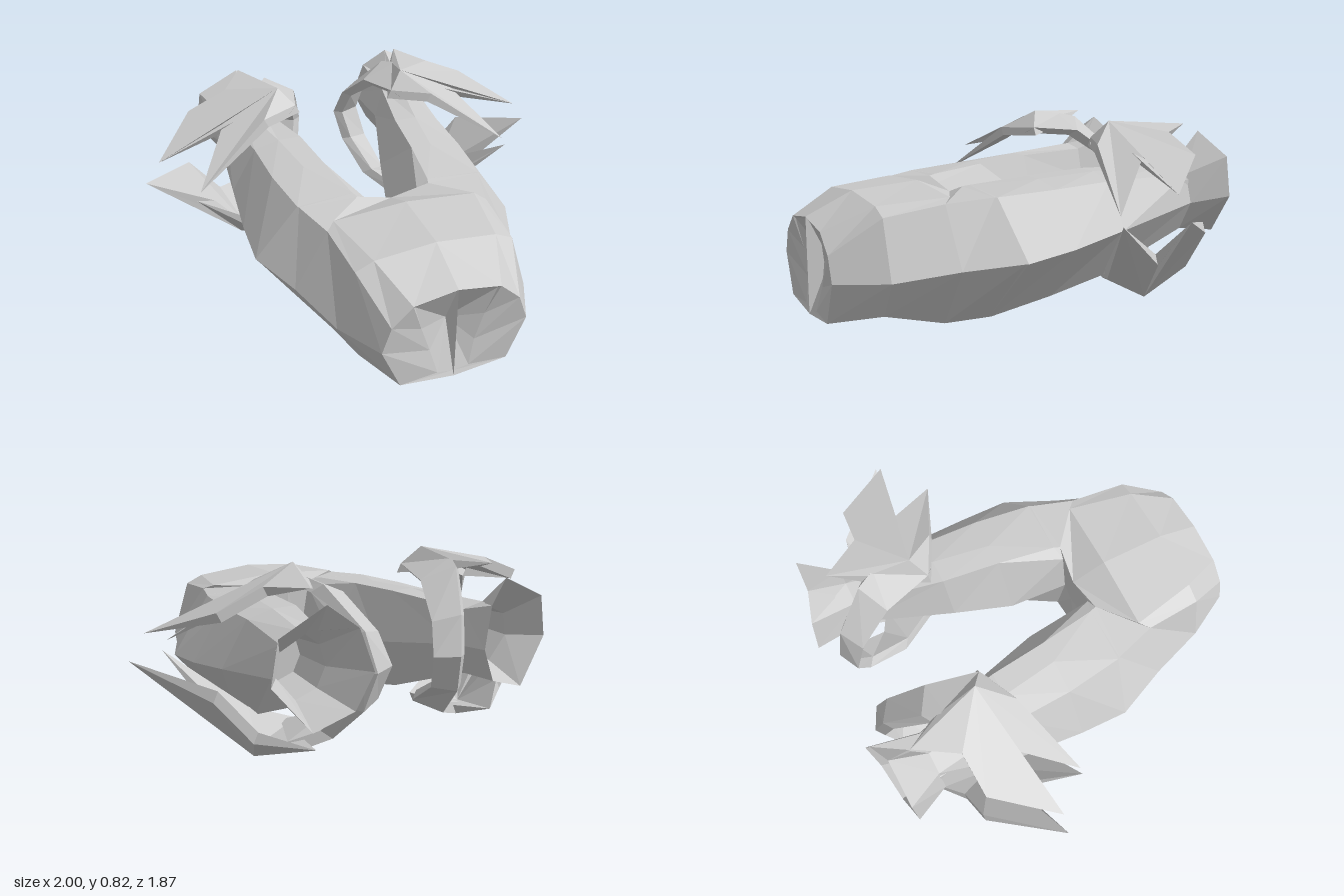
import * as THREE from 'three';

const material = new THREE.MeshStandardMaterial({ color: 0xcccccc, flatShading: true });
const thinMaterial = new THREE.MeshStandardMaterial({ color: 0xcccccc, flatShading: true, side: THREE.DoubleSide });

// Mesh from triangles given as corner triples; side -1 mirrors it across x = 0
function meshFrom(name, tris, side, mat) {
  const pos = [];
  for (const [a, b, c] of tris)
    for (const [x, y, z] of side > 0 ? [a, b, c] : [a, c, b]) pos.push(x * side, y, z);
  const geo = new THREE.BufferGeometry();
  geo.setAttribute('position', new THREE.Float32BufferAttribute(pos, 3));
  geo.computeVertexNormals();
  const mesh = new THREE.Mesh(geo, mat);
  mesh.name = name;
  return mesh;
}

// Skin between successive closed cross-sections
function loft(sections) {
  const tris = [];
  for (let i = 0; i < sections.length - 1; i++) {
    const s = sections[i], t = sections[i + 1], n = s.length;
    for (let j = 0; j < n; j++) {
      const k = (j + 1) % n;
      tris.push([s[j], s[k], t[j]], [s[k], t[k], t[j]]);
    }
  }
  return tris;
}

// Cross-section at depth z; a point may carry its own z instead
const at = (z, pts) => pts.map(([x, y, ownZ = z]) => [x, y, ownZ]);

// Half of the forked body; each loop runs top inner, top, shoulder, widest, bottom outer, bottom inner, inner side
const bodySections = [
  at(0.83, Array(7).fill([0, 0.25])),                                                                  // intake depth
  at(0.92, [[0, 0.44], [0.18, 0.41], [0.14, 0.28, 0.9], [0.1, 0.16, 0.9], [0.07, 0.05], [0, 0.04], [0, 0.25, 0.83]]),
  at(0.93, [[0, 0.45], [0.19, 0.42], [0.28, 0.34], [0.32, 0.23], [0.24, 0.045], [0, 0.02], [0, 0.25]]),
  at(0.72, [[0, 0.545], [0.27, 0.52], [0.35, 0.485], [0.43, 0.23], [0.34, 0.07], [0, 0.01], [0, 0.28]]),
  at(0.45, [[0, 0.565, 0.41], [0.33, 0.54, 0.41], [0.37, 0.52], [0.52, 0.265], [0.35, 0], [0, 0], [0, 0.28]]),
  at(0.25, [[0, 0.5], [0.17, 0.55, 0.27], [0.43, 0.54], [0.62, 0.29, 0.21], [0.38, 0.005], [0, 0.01], [0, 0.28]]),
  at(0.24, [[0.12, 0.52, 0.26], [0.18, 0.555], [0.435, 0.54], [0.625, 0.29, 0.2], [0.38, 0.005], [0.1, 0.02], [0.08, 0.28, 0.26]]),
  at(-0.03, [[0.22, 0.58], [0.32, 0.58], [0.47, 0.555], [0.62, 0.32], [0.43, 0.07], [0.24, 0.07], [0.09, 0.32]]),
  at(-0.3, [[0.25, 0.6], [0.36, 0.6], [0.48, 0.57], [0.6, 0.37], [0.45, 0.135], [0.28, 0.135], [0.17, 0.37]]),
  at(-0.7, [[0.34, 0.6], [0.44, 0.62], [0.53, 0.58], [0.57, 0.45], [0.5, 0.32], [0.36, 0.31], [0.3, 0.45]]),
];

// Flared nozzle rim and the deep cup inside it
const rim = [[0.31, 0.67, -0.91], [0.42, 0.76, -0.86], [0.62, 0.66, -0.86], [0.65, 0.48, -0.86],
  [0.5, 0.29, -0.9], [0.33, 0.35, -0.92], [0.26, 0.5, -0.94]];
const scaled = (k, z) => rim.map(([x, y]) => [0.45 + (x - 0.45) * k, 0.47 + (y - 0.5) * k, z]);
const nozzleSections = [bodySections.at(-1), rim, scaled(0.55, -0.72), scaled(0.45, -0.55), scaled(0, -0.55)];

// Spiked plate: a faceted cap from peak to outline, with an underside; the tips stay sharp
function plate(outline, peak, drop) {
  const tips = [2, 4, 7];
  const tris = [];
  const low = outline.map(([x, y, z], i) => tips.includes(i) ? [x, y, z] : [x - 0.02, y + drop, z]);
  const lowPeak = [peak[0] - 0.02, peak[1] + drop, peak[2]];
  outline.forEach((p, i) => {
    const j = (i + 1) % outline.length, q = outline[j];
    tris.push([peak, p, q], [lowPeak, low[j], low[i]], [p, low[i], q], [q, low[i], low[j]]);
  });
  return tris;
}

// Each outline: inner front, front, front tip, notch, outer tip, outer corner, rear root, rear tip, inner rear
const upper = plate([[0.25, 0.74, -0.36], [0.43, 0.73, -0.27], [0.78, 0.48, -0.14], [0.6, 0.69, -0.39],
  [0.93, 0.58, -0.31], [0.73, 0.7, -0.57], [0.54, 0.78, -0.58], [0.43, 0.8, -0.76], [0.35, 0.79, -0.6]],
[0.32, 0.82, -0.41], -0.04);
const lower = plate([[0.32, 0.08, -0.39], [0.5, 0.13, -0.29], [0.8, 0.44, -0.14], [0.69, 0.22, -0.42],
  [1, 0.48, -0.32], [0.77, 0.36, -0.61], [0.62, 0.17, -0.64], [0.43, 0.165, -0.8], [0.4, 0.08, -0.61]],
[0.54, 0.03, -0.47], 0.045);

// Curved band joining the two plates around the inner side of the arm: front edge, rear edge
const bandEdges = [
  [[0.25, 0.74, -0.36], [0.36, 0.8, -0.57]],
  [[0.19, 0.72, -0.59], [0.32, 0.78, -0.66]],
  [[0.13, 0.59, -0.76], [0.23, 0.62, -0.82]],
  [[0.1, 0.46, -0.82], [0.2, 0.46, -0.87]],
  [[0.13, 0.31, -0.77], [0.23, 0.29, -0.82]],
  [[0.18, 0.18, -0.58], [0.28, 0.13, -0.67]],
  [[0.32, 0.08, -0.39], [0.4, 0.08, -0.61]],
];
const band = loft(bandEdges.map(([a, b]) => {
  const inset = ([x, y, z]) => [x + 0.04, y + (0.45 - y) * 0.1, z + 0.03];
  return [a, b, inset(b), inset(a)];
}));

export function createModel() {
  const model = new THREE.Group();
  model.name = 'forkedThruster';
  for (const side of [1, -1]) {
    const half = new THREE.Group();
    half.name = side > 0 ? 'leftHalf' : 'rightHalf';
    half.add(
      meshFrom('bodyArm', loft(bodySections), side, material),
      meshFrom('nozzle', loft(nozzleSections), side, thinMaterial),
      meshFrom('upperClaw', upper, side, thinMaterial),
      meshFrom('lowerClaw', lower, side, thinMaterial),
      meshFrom('clawBand', band, side, thinMaterial),
    );
    model.add(half);
  }
  return model;
}
